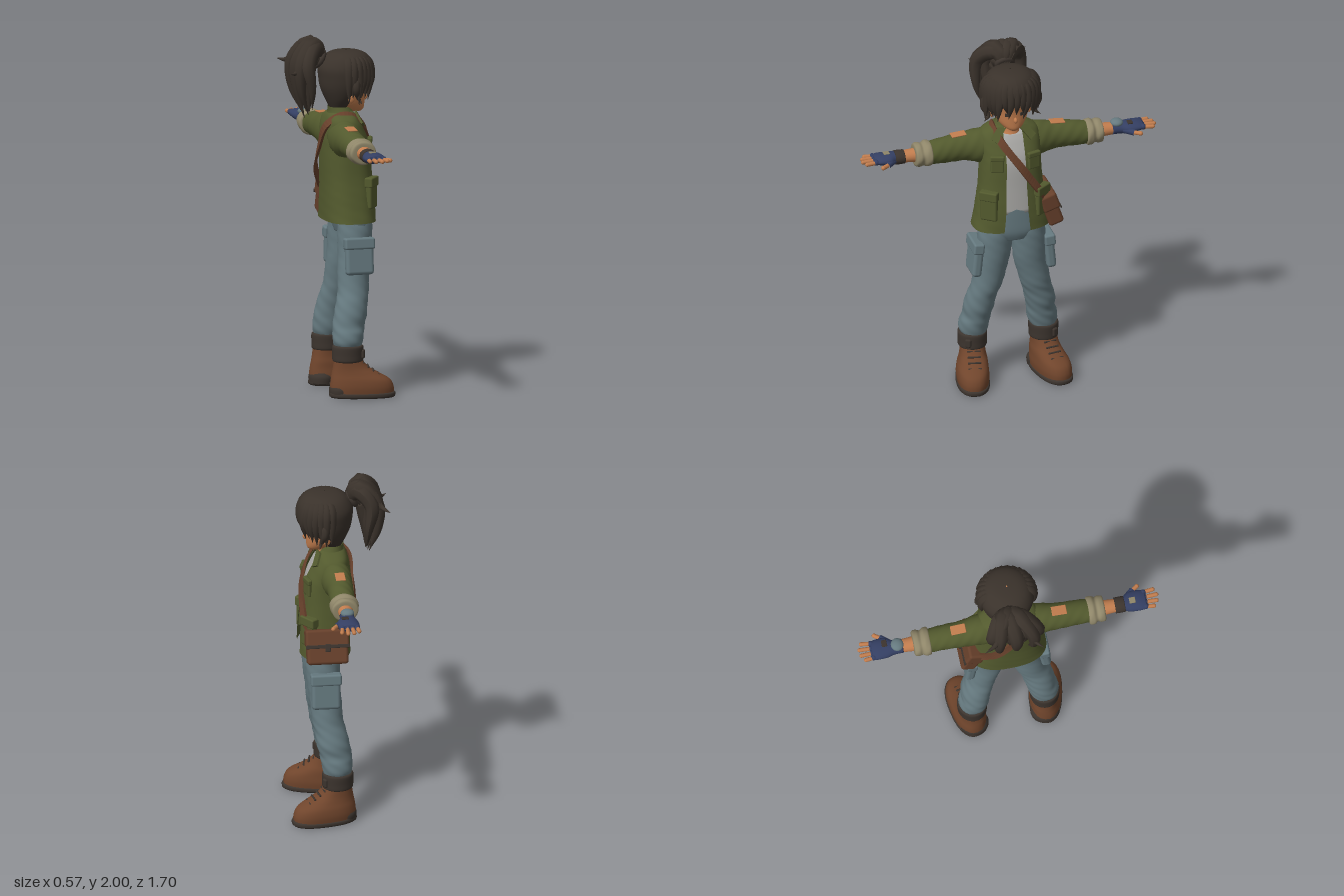
import * as THREE from 'three';
import { RoundedBoxGeometry } from 'three/addons/geometries/RoundedBoxGeometry.js';

const mat = (name, color, open) => {
  const m = new THREE.MeshStandardMaterial({ color });
  m.name = name;
  if (open) m.side = THREE.DoubleSide;
  return m;
};

export function createModel() {
  const M = {
    hair: mat('hair brown', 0x3a322b, true), skin: mat('skin', 0xc27d4e), jacket: mat('olive cloth', 0x535a2e, true),
    pants: mat('blue grey cloth', 0x667a80), boot: mat('boot leather', 0x70452c), dark: mat('dark leather', 0x3c342e),
    cuff: mat('cuff lining', 0x8f8669), glove: mat('navy knit', 0x343f63), shirt: mat('grey shirt', 0xacaba8), bag: mat('bag leather', 0x67402b),
  };
  const body = new THREE.Group();
  body.name = 'traveller';
  const add = (name, geo, m, parent = body, pos = [0, 0, 0], rot = [0, 0, 0]) => {
    const mesh = new THREE.Mesh(geo, m);
    mesh.name = name;
    mesh.position.set(...pos);
    mesh.rotation.set(...rot);
    parent.add(mesh);
    return mesh;
  };
  const box = (w, h, d, r = 0.01) => new RoundedBoxGeometry(w, h, d, 2, Math.min(r, w / 2.1, h / 2.1, d / 2.1));
  const cr = (a, b, c, d, t) => 0.5 * (2 * b + (c - a) * t + (2 * a - 5 * b + 4 * c - d) * t * t + (3 * b - a - 3 * c + d) * t * t * t);

  // Smooth loft through rings [y, centreX, centreZ, radiusX, radiusZ, frontOpening]
  function loft(rings, { p = 2, n = 28, sub = 5, open = false, wob = 0 } = {}) {
    const pos = [], idx = [], rows = (rings.length - 1) * sub;
    for (let r = 0; r <= rows; r++) {
      const k = Math.min(Math.floor(r / sub), rings.length - 2), t = r / sub - k;
      const g = i => rings[Math.max(0, Math.min(rings.length - 1, i))];
      const [y, cx, cz, rx, rz, o = 0] = rings[0].map((_, c) => cr(g(k - 1)[c], g(k)[c], g(k + 1)[c], g(k + 2)[c], t));
      const a0 = open ? Math.asin(Math.min(1, Math.max(0, o / rx) ** (p / 2))) : 0;
      for (let j = 0; j <= n; j++) {
        const a = a0 + (2 * Math.PI - 2 * a0) * j / n, s = Math.sin(a), c = Math.cos(a);
        const w = 1 + wob * Math.sin(3 * a + y * 30) * Math.sin(y * 62 + 2 * a);
        pos.push(cx + w * rx * Math.sign(s) * Math.abs(s) ** (2 / p), y, cz + w * rz * Math.sign(c) * Math.abs(c) ** (2 / p));
      }
    }
    const at = (r, j) => r * (n + 1) + (open ? j : j % n);
    for (let r = 0; r < rows; r++) for (let j = 0; j < n; j++)
      idx.push(at(r, j), at(r, j + 1), at(r + 1, j), at(r, j + 1), at(r + 1, j + 1), at(r + 1, j));
    if (!open) [0, rows].forEach(r => {
      const q = rings[r ? rings.length - 1 : 0], c = pos.length / 3;
      pos.push(q[1], q[0], q[2]);
      for (let j = 0; j < n; j++) r ? idx.push(c, at(r, j), at(r, j + 1)) : idx.push(c, at(r, j + 1), at(r, j));
    });
    const geo = new THREE.BufferGeometry();
    geo.setAttribute('position', new THREE.Float32BufferAttribute(pos, 3));
    geo.setIndex(idx);
    geo.computeVertexNormals();
    return geo;
  }
  const curve = pts => new THREE.CatmullRomCurve3(pts.map(q => new THREE.Vector3(...q)));

  // Tapering lock of hair
  function lock(name, pts, r) {
    const c = curve(pts), N = 18, geo = new THREE.TubeGeometry(c, N, r, 8), P = geo.attributes.position;
    const v = new THREE.Vector3();
    for (let i = 0; i < P.count; i++) {
      const t = Math.floor(i / 9) / N, q = c.getPointAt(t);
      v.fromBufferAttribute(P, i).sub(q).multiplyScalar(Math.min(1, 0.5 + 2 * t) * Math.max(0.02, (1 - t ** 2.2))).add(q);
      P.setXYZ(i, v.x, v.y, v.z);
    }
    geo.computeVertexNormals();
    add(name, geo, M.hair);
  }

  // Jacket, shirt and collar
  add('jacket', loft([
    [0.97, 0, 0.08, 0.222, 0.145, 0.075], [1.08, 0, 0.08, 0.2, 0.143, 0.065], [1.22, 0, 0.073, 0.18, 0.137, 0.06],
    [1.38, 0, 0.066, 0.17, 0.134, 0.055], [1.48, 0, 0.05, 0.172, 0.112, 0.055], [1.535, 0, 0.04, 0.16, 0.09, 0.055],
    [1.565, 0, 0.04, 0.115, 0.075, 0.05], [1.58, 0, 0.045, 0.075, 0.06, 0.045]], { p: 2.5, n: 48, open: true, wob: 0.008 }), M.jacket);
  add('shirt', loft([[1.07, 0, 0.08, 0.17, 0.118], [1.22, 0, 0.073, 0.165, 0.12], [1.38, 0, 0.066, 0.155, 0.12],
    [1.48, 0, 0.05, 0.15, 0.098], [1.53, 0, 0.045, 0.1, 0.075]], { p: 2.5 }), M.shirt);
  add('collar', loft([[1.545, 0, 0.045, 0.105, 0.085, 0.055], [1.575, 0, 0.042, 0.085, 0.072, 0.045], [1.605, 0, 0.035, 0.07, 0.065, 0.05]],
    { open: true }), M.jacket);
  const lapel = new THREE.Shape([[0.035, 1.575], [0.085, 1.575], [0.125, 1.51], [0.085, 1.485]].map(q => new THREE.Vector2(...q)));
  for (const s of [-1, 1]) {
    const g = new THREE.ExtrudeGeometry(lapel, { depth: 0.012, bevelEnabled: false });
    g.translate(0, -1.57, 0).rotateX(-0.55).rotateY(0.25).translate(0, 1.57, 0.125);
    if (s < 0) {
      g.scale(-1, 1, 1);
      const P = g.attributes.position, N = g.attributes.normal;
      for (const A of [P, N]) for (let i = 0; i < A.count; i += 3) {
        const a = [A.getX(i), A.getY(i), A.getZ(i)];
        A.setXYZ(i, A.getX(i + 1), A.getY(i + 1), A.getZ(i + 1));
        A.setXYZ(i + 1, ...a);
      }
    }
    add('lapel', g, M.jacket);
    // Jacket pockets with flaps
    const pocket = (name, w, h, d, pos, ry) => {
      add(name, box(w, h, d, 0.012), M.jacket, body, pos, [0, ry, 0]);
      add(name + 'Flap', box(w * 1.06, h * 0.32, d * 1.35, 0.008), M.jacket, body, [pos[0], pos[1] + h * 0.38, pos[2]], [0, ry, 0]);
    };
    pocket('hipPocket', 0.1, 0.17, 0.035, [s * 0.152, 1.13, 0.178], s * 0.65);
    pocket('chestPocket', 0.075, 0.1, 0.02, [s * 0.105, 1.385, 0.182], s * 0.3);
  }

  // Arms
  for (const s of [-1, 1]) {
    const arm = new THREE.Group();
    arm.name = s > 0 ? 'leftArm' : 'rightArm';
    arm.position.set(0, 1.43, 0.02);
    body.add(arm);
    // rings [distance, rise, z, vertical radius, depth radius]
    const along = (name, rings, m, o) => add(name, loft(rings.map(([d, h, ...q]) => [d, -s * h, ...q]), o), m, arm, [0, 0, 0], [0, 0, -s * Math.PI / 2]);
    along('sleeve', [[0.08, 0.01, 0.01, 0.105, 0.085], [0.17, 0.012, 0.005, 0.1, 0.084], [0.25, 0.014, 0, 0.083, 0.074],
      [0.34, 0.01, 0, 0.076, 0.07], [0.41, 0.004, 0, 0.07, 0.068], [0.47, 0, 0, 0.062, 0.066]], M.jacket, { wob: 0.03 });
    along('rolledCuff', [[0.445, 0, 0, 0.05, 0.055], [0.45, 0, 0, 0.068, 0.078], [0.475, 0, 0, 0.073, 0.08], [0.495, 0, 0, 0.063, 0.07],
      [0.515, 0, 0, 0.068, 0.075], [0.538, 0, 0, 0.062, 0.07], [0.542, 0, 0, 0.04, 0.045]], M.cuff, { wob: 0.03 });
    along('forearm', [[0.5, 0, 0, 0.042, 0.045], [0.6, 0, 0, 0.034, 0.038], [0.66, 0, 0, 0.03, 0.036]], M.skin);
    along('glove', [[0.6, 0, 0, 0.034, 0.04], [0.65, 0, 0, 0.034, 0.042], [0.69, 0.002, 0.005, 0.033, 0.058], [0.74, 0.005, 0.003, 0.027, 0.06],
      [0.775, 0.006, 0, 0.018, 0.055]], M.glove);
    add('sleevePatch', box(0.085, 0.008, 0.055, 0.004), M.skin, arm, [s * 0.285, 0.0925, 0], [0, 0, -s * 0.08]);
    if (s < 0) {
      along('wristBand', [[0.6, 0, 0, 0.038, 0.045], [0.63, 0, 0, 0.04, 0.046], [0.655, 0, 0, 0.038, 0.045]], M.dark);
      add('glovePatch', box(0.035, 0.008, 0.035, 0.003), M.cuff, arm, [-0.7, 0.034, 0]);
    } else {
      add('wristPad', new THREE.SphereGeometry(1, 20, 12).scale(0.036, 0.022, 0.038), M.pants, arm, [0.63, 0.033, 0]);
      add('glovePatch', box(0.03, 0.008, 0.04, 0.003), M.dark, arm, [0.7, 0.034, 0.02]);
    }
    // Fingers
    [0.043, 0.015, -0.013, -0.039].forEach((z, i) => {
      const len = [0.07, 0.085, 0.08, 0.06][i];
      const f = add('finger', new THREE.CapsuleGeometry(0.0115, len - 0.01, 4, 10), M.skin, arm, [s * (0.77 + len / 2 - 0.01), 0.005, z * 1.1]);
      f.rotation.set(0, -s * z * 3, s * Math.PI / 2, 'YZX');
      add('fingerSleeve', new THREE.SphereGeometry(0.017, 12, 8), M.glove, arm, [s * 0.77, 0.006, z]);
    });
    const thumb = (r, a, b, m) => add('thumb', new THREE.TubeGeometry(curve([a, b]), 4, r, 10), m, arm);
    thumb(0.018, [s * 0.665, -0.005, 0.03], [s * 0.715, -0.008, 0.073], M.glove);
    thumb(0.012, [s * 0.71, -0.008, 0.069], [s * 0.742, -0.008, 0.09], M.skin);
    add('thumbTip', new THREE.SphereGeometry(0.0125, 12, 8), M.skin, arm, [s * 0.743, -0.008, 0.091]);
  }

  // Trousers and boots
  add('hips', loft([[0.9, 0, 0.1, 0.12, 0.085], [0.95, 0, 0.1, 0.185, 0.1], [1.03, 0, 0.09, 0.178, 0.11], [1.1, 0, 0.085, 0.165, 0.112]], { p: 2.3 }), M.pants);
  for (const s of [-1, 1]) {
    add('trouserLeg', loft([
      [0.27, s * 0.2, 0.03, 0.065, 0.07], [0.31, s * 0.2, 0.027, 0.082, 0.083], [0.36, s * 0.193, 0.03, 0.085, 0.088], [0.4, s * 0.184, 0.034, 0.08, 0.09],
      [0.46, s * 0.176, 0.05, 0.086, 0.092], [0.53, s * 0.16, 0.062, 0.084, 0.088], [0.6, s * 0.138, 0.075, 0.086, 0.087], [0.75, s * 0.108, 0.088, 0.094, 0.09],
      [0.9, s * 0.096, 0.098, 0.098, 0.097], [1.0, s * 0.088, 0.095, 0.09, 0.095]], { wob: 0.03 }), M.pants);
    add('cargoPocket', box(0.055, 0.2, 0.16, 0.02), M.pants, body, [s * 0.208, 0.785, 0.09], [0, 0, s * 0.1]);
    add('cargoFlap', box(0.062, 0.065, 0.172, 0.012), M.pants, body, [s * 0.205, 0.86, 0.09], [0, 0, s * 0.1]);

    const boot = new THREE.Group();
    boot.name = s > 0 ? 'leftBoot' : 'rightBoot';
    boot.position.set(s * 0.205, 0, 0.025);
    boot.rotation.y = s * 0.19;
    body.add(boot);
    add('upper', loft([[0.02, s * 0.005, 0.078, 0.088, 0.178], [0.06, s * 0.005, 0.077, 0.092, 0.177], [0.1, s * 0.004, 0.068, 0.088, 0.164],
      [0.135, 0, 0.04, 0.08, 0.13], [0.17, 0, 0.015, 0.072, 0.098], [0.22, 0, 0, 0.069, 0.077], [0.27, 0, 0, 0.07, 0.076]], { p: 2.3 }), M.boot, boot);
    add('sole', loft([[0, s * 0.005, 0.08, 0.084, 0.176], [0.008, s * 0.005, 0.08, 0.093, 0.184], [0.024, s * 0.005, 0.08, 0.093, 0.184], [0.03, s * 0.005, 0.08, 0.085, 0.176]],
      { p: 2.4 }), M.dark, boot);
    add('heelCounter', loft([[0.01, 0, -0.035, 0.077, 0.068], [0.05, 0, -0.035, 0.08, 0.069], [0.08, 0, -0.035, 0.06, 0.05]]), M.dark, boot);
    add('ankleCuff', loft([[0.2, 0, 0, 0.072, 0.078], [0.208, 0, 0, 0.081, 0.086], [0.24, 0, 0, 0.082, 0.087], [0.282, 0, 0, 0.083, 0.087], [0.292, 0, 0, 0.074, 0.078]]), M.dark, boot);
    add('ankleBuckle', box(0.035, 0.05, 0.02), M.dark, boot, [s * 0.03, 0.245, 0.082], [0, s * 0.3, 0]);
    for (let i = 0; i < 4; i++) add('lace', box(0.075, 0.01, 0.012, 0.004), M.dark, boot, [0, 0.128 + i * 0.022, 0.168 - i * 0.028], [-0.6, 0, 0]);
  }

  // Shoulder bag
  const bag = new THREE.Group();
  bag.name = 'shoulderBag';
  bag.position.set(0.208, 1.06, 0.085);
  bag.rotation.z = 0.33;
  body.add(bag);
  add('bagBody', box(0.088, 0.19, 0.23, 0.018), M.bag, bag);
  add('bagFlap', box(0.1, 0.1, 0.242, 0.015), M.bag, bag, [0.004, 0.052, 0]);
  add('bagBand', box(0.008, 0.02, 0.245, 0.003), M.dark, bag, [0.053, 0.008, 0]);
  add('bagClasp', box(0.012, 0.045, 0.03, 0.004), M.dark, bag, [0.053, 0, 0]);
  const path = curve([[0.185, 1.12, 0.16], [0.14, 1.19, 0.2], [0.08, 1.28, 0.21], [0.02, 1.37, 0.208], [-0.065, 1.49, 0.162], [-0.1, 1.555, 0.09],
    [-0.1, 1.565, 0.02], [-0.075, 1.51, -0.062], [0, 1.38, -0.08], [0.09, 1.25, -0.074], [0.17, 1.13, -0.02]]);
  const sp = [], si = [], N = 60, mid = new THREE.Vector3(0, 1.25, 0.06);
  for (let i = 0; i <= N; i++) {
    const q = path.getPointAt(i / N), t = path.getTangentAt(i / N), n = q.clone().sub(mid);
    n.y *= 0.3;
    n.addScaledVector(t, -n.dot(t)).normalize();
    const w = t.clone().cross(n);
    [[-1, -1], [1, -1], [1, 1], [-1, 1]].forEach(([a, b]) => sp.push(...q.clone().addScaledVector(w, a * 0.021).addScaledVector(n, b * 0.007)));
    if (i < N) for (let k = 0; k < 4; k++) {
      const a = i * 4 + k, b = i * 4 + (k + 1) % 4;
      si.push(a, b, a + 4, b, b + 4, a + 4);
    }
  }
  const strap = new THREE.BufferGeometry();
  strap.setAttribute('position', new THREE.Float32BufferAttribute(sp, 3));
  strap.setIndex(si);
  const flat = strap.toNonIndexed();
  flat.computeVertexNormals();
  const strapMat = M.bag;
  strapMat.side = THREE.DoubleSide;
  add('bagStrap', flat, strapMat);

  // Head
  add('neck', loft([[1.49, 0, 0.07, 0.065, 0.07], [1.55, 0, 0.06, 0.047, 0.052], [1.63, 0, 0.065, 0.045, 0.05]]), M.skin);
  add('head', loft([[1.572, 0, 0.13, 0.022, 0.032], [1.59, 0, 0.115, 0.053, 0.06], [1.625, 0, 0.095, 0.082, 0.083], [1.68, 0, 0.085, 0.1, 0.095],
    [1.74, 0, 0.08, 0.115, 0.108], [1.82, 0, 0.075, 0.11, 0.11], [1.87, 0, 0.075, 0.05, 0.05]]), M.skin);
  add('nose', new THREE.SphereGeometry(1, 12, 8).scale(0.011, 0.017, 0.016), M.skin, body, [0, 1.648, 0.182]);
  add('mouth', box(0.03, 0.004, 0.006, 0.002), M.boot, body, [0, 1.613, 0.172]);
  for (const s of [-1, 1]) {
    add('ear', new THREE.SphereGeometry(1, 14, 10).scale(0.013, 0.032, 0.022), M.skin, body, [s * 0.107, 1.665, 0.075]);
    add('eye', box(0.032, 0.022, 0.008, 0.004), M.dark, body, [s * 0.043, 1.682, 0.171], [0, s * 0.4, 0]);
  }

  // Hair cap, fringe and ponytail
  add('hairCap', loft([[1.6, 0, 0.03, 0.065, 0.05, 0.05], [1.65, 0, 0.045, 0.105, 0.09, 0.085], [1.71, 0, 0.06, 0.135, 0.13, 0.1], [1.77, 0, 0.07, 0.15, 0.15, 0.05],
    [1.83, 0, 0.073, 0.152, 0.155, 0], [1.885, 0, 0.075, 0.125, 0.125, 0], [1.912, 0, 0.075, 0.075, 0.075, 0], [1.92, 0, 0.075, 0.004, 0.004, 0]], { open: true, n: 36 }), M.hair);
  for (let i = -8; i <= 8; i++) {
    const a = i * 0.22, x = Math.sin(a), z = Math.cos(a), j = 0.018 * Math.sin(i * 2.4);
    lock('fringeLock', [[0.05 * x, 1.89, 0.08 + 0.07 * z], [0.13 * x, 1.85, 0.075 + 0.115 * z], [0.15 * x, 1.77, 0.075 + 0.138 * z],
      [0.14 * x + j, 1.69 - 0.045 * Math.abs(x) + j, 0.075 + 0.122 * z]], 0.034);
  }
  for (const s of [-1, 1]) lock('sideLock', [[s * 0.13, 1.8, 0.1], [s * 0.158, 1.72, 0.09], [s * 0.135, 1.66, 0.11], [s * 0.165, 1.635, 0.12]], 0.026);
  add('hairTie', new THREE.TorusGeometry(0.042, 0.016, 10, 20), M.dark, body, [0.01, 1.875, -0.075], [0.5, 0, 0]);
  for (let i = -4; i <= 4; i++) {
    const u = i / 4, v = Math.cos(i * 2.1);
    lock('ponytailLock', [[0.01, 1.86, -0.06], [0.02 + 0.05 * u, 1.945 + 0.012 * v, -0.11], [0.12 * u, 1.87, -0.185 - 0.02 * v],
      [0.13 * u, 1.72, -0.175 - 0.035 * v], [0.1 * u, 1.56 + 0.04 * Math.abs(u) - 0.015 * v, -0.155 - 0.01 * v]], 0.05);
  }
  lock('ponytailCore', [[0, 1.88, -0.08], [0, 1.87, -0.15], [0, 1.74, -0.165], [0, 1.6, -0.15]], 0.075);
  lock('topLoop', [[0, 1.87, -0.06], [0.03, 1.955, -0.1], [0.06, 1.955, -0.16], [0.1, 1.88, -0.21]], 0.042);
  lock('topLoop', [[0, 1.87, -0.06], [-0.02, 1.95, -0.11], [-0.05, 1.92, -0.18], [-0.07, 1.8, -0.22]], 0.042);
  lock('strayLock', [[0.02, 1.92, -0.11], [0.08, 1.93, -0.18], [0.12, 1.86, -0.23], [0.19, 1.855, -0.27]], 0.028);
  lock('strayLock', [[-0.02, 1.92, -0.12], [-0.07, 1.9, -0.2], [-0.1, 1.82, -0.24], [-0.14, 1.82, -0.285]], 0.03);

  // The figure faces +x
  body.rotation.y = Math.PI / 2;
  const model = new THREE.Group();
  model.name = 'model';
  model.add(body);
  return model;
}
